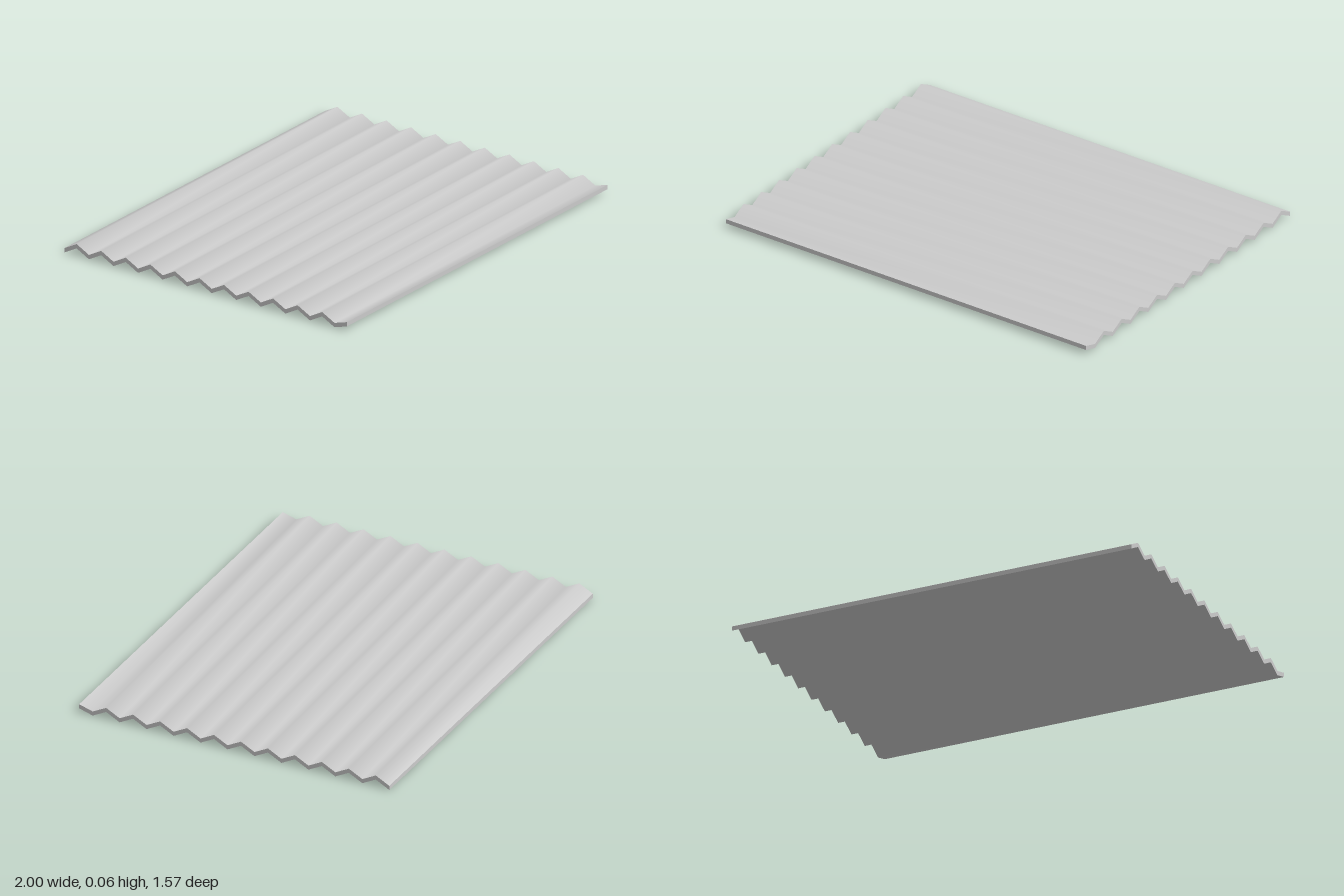
import * as THREE from 'three';

const HALF_WIDTH = 1, HALF_DEPTH = 0.785;
const FOLDS = 23;          // flat slopes from front to back
const THICKNESS = 0.021;
const VALLEY = 0, PEAK = 0.036, FRONT_LIP = 0.02;

// Underside height at each fold line, front to back
function foldHeight(i) {
  if (i === 0) return FRONT_LIP;
  return i % 2 ? VALLEY : PEAK;
}

// One fold line per slope, followed along the side at x, raised by lift
function zigzag(x, lift) {
  return Array.from({ length: FOLDS + 1 }, (_, i) =>
    new THREE.Vector3(x, foldHeight(i) + lift, HALF_DEPTH - (2 * HALF_DEPTH * i) / FOLDS));
}

// Smooth surface stretched between two polylines
function strip(a, b) {
  const points = [], index = [];
  a.forEach((p, i) => {
    points.push(p, b[i]);
    if (i > 0) {
      const k = 2 * i - 2;
      index.push(k, k + 1, k + 3, k, k + 3, k + 2);
    }
  });
  const geometry = new THREE.BufferGeometry().setFromPoints(points);
  geometry.setIndex(index);
  geometry.computeVertexNormals();
  return geometry;
}

export function createModel() {
  const group = new THREE.Group();
  group.name = 'corrugatedSheet';
  const material = new THREE.MeshStandardMaterial({ color: 0xcccccc });

  const topLeft = zigzag(HALF_WIDTH, THICKNESS);
  const topRight = zigzag(-HALF_WIDTH, THICKNESS);
  const lowLeft = zigzag(HALF_WIDTH, 0);
  const lowRight = zigzag(-HALF_WIDTH, 0);
  const n = FOLDS;

  const parts = {
    // Corrugated faces
    topSurface: strip(topRight, topLeft),
    underside: strip(lowLeft, lowRight),
    // Zigzag edges on both sides
    leftEdge: strip(topLeft, lowLeft),
    rightEdge: strip(lowRight, topRight),
    // Straight edges at front and back
    frontEdge: strip([lowRight[0], topRight[0]], [lowLeft[0], topLeft[0]]),
    backEdge: strip([topRight[n], lowRight[n]], [topLeft[n], lowLeft[n]]),
  };
  for (const [name, geometry] of Object.entries(parts)) {
    const mesh = new THREE.Mesh(geometry, material);
    mesh.name = name;
    group.add(mesh);
  }
  return group;
}
